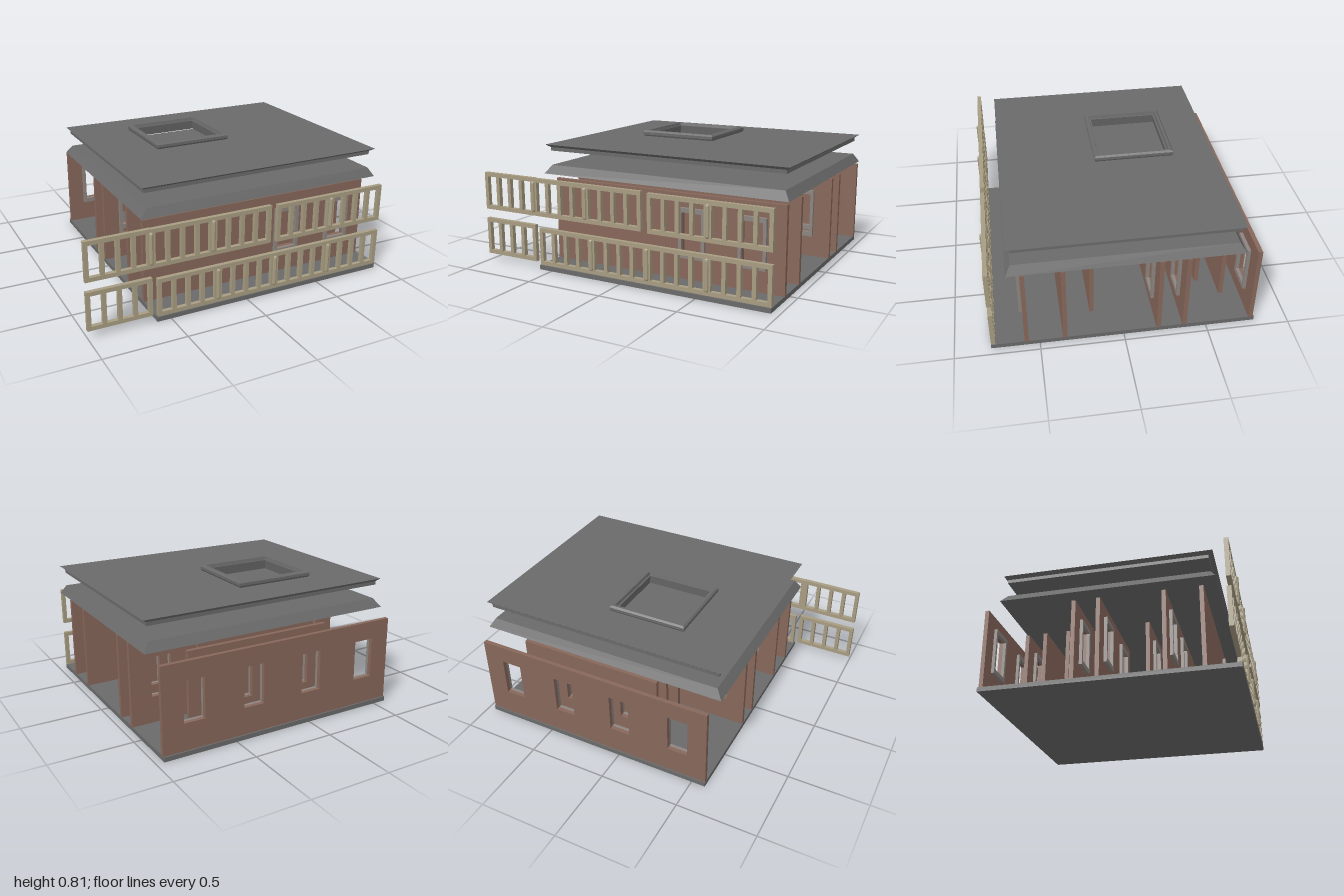
import * as THREE from 'three';

const mat = (color, side = THREE.FrontSide) => new THREE.MeshStandardMaterial({ color, side, flatShading: true });
const slate = mat(0x6a6a6a), brick = mat(0x87675a), stone = mat(0xa89d82), trim = mat(0x8c8580);

function add(parent, name, geometry, material, x = 0, y = 0, z = 0) {
  const mesh = new THREE.Mesh(geometry, material);
  mesh.name = name;
  mesh.position.set(x, y, z);
  parent.add(mesh);
  return mesh;
}

// Rectangle outline from its limits
function rect(x0, y0, x1, y1, Type = THREE.Shape) {
  return new Type([[x0, y0], [x1, y0], [x1, y1], [x0, y1]].map(p => new THREE.Vector2(...p)));
}

// Upright plate with rectangular openings, front face towards +z
function plate(outer, holes, depth) {
  const shape = rect(...outer);
  holes.forEach(h => shape.holes.push(rect(...h, THREE.Path)));
  return new THREE.ExtrudeGeometry(shape, { depth, bevelEnabled: false });
}

// Rectangular rings [x0, x1, z0, z1, y] joined by straight sides, in order
function rings(list) {
  const pos = [], index = [];
  list.forEach(([x0, x1, z0, z1, y]) => pos.push(x0, y, z1, x1, y, z1, x1, y, z0, x0, y, z0));
  for (let r = 0; r < list.length - 1; r++) {
    for (let i = 0; i < 4; i++) {
      const a = r * 4 + i, b = r * 4 + (i + 1) % 4;
      index.push(a, b, b + 4, a, b + 4, a + 4);
    }
  }
  const g = new THREE.BufferGeometry();
  g.setAttribute('position', new THREE.Float32BufferAttribute(pos, 3));
  g.setIndex(index);
  const flat = g.toNonIndexed();
  flat.computeVertexNormals();
  return flat;
}

// Wall panel with framed windows on its +z face
function wall(parent, z, x0, x1, windows) {
  const g = new THREE.Group();
  g.name = 'wall';
  const w = 0.065, y0 = 0.195, y1 = 0.44;
  const holes = windows.map(x => [x - w, y0, x + w, y1]);
  add(g, 'wallPanel', plate([x0, 0.03, x1, 0.55], holes, 0.026), brick, 0, 0, -0.013);
  windows.forEach(x => add(g, 'windowFrame',
    plate([x - 0.085, 0.165, x + 0.085, 0.467], [[x - w, y0, x + w, y1]], 0.02), trim, 0, 0, 0.013));
  g.position.z = z;
  parent.add(g);
}

// Balustrade panel with four tall openings
function balustrade(parent, x0, x1, y0, y1) {
  const bar = 0.024, n = 4, open = (x1 - x0 - bar * (n + 1)) / n;
  const holes = [];
  for (let i = 0; i < n; i++) {
    const x = x0 + bar + i * (open + bar);
    holes.push([x, y0 + 0.025, x + open, y1 - 0.025]);
  }
  add(parent, 'balustradePanel', plate([x0, y0, x1, y1], holes, 0.026), stone, 0, 0, 0.76);
}

export function createModel() {
  const model = new THREE.Group();
  model.name = 'explodedHouse';

  // Floor slab
  add(model, 'floorSlab', new THREE.BoxGeometry(1.54, 0.028, 1.585), slate, 0.183, 0.017, -0.006);

  // Parallel walls: z, x range, window centres
  const A = -0.4, B = -0.01, C = 0.38, D = 0.76;
  [
    [0.577, -0.585, 0.955, [C, D]],
    [0.35, -0.585, 0.955, [A, B]],
    [0.17, -0.2, 0.77, [B, C]],
    [-0.055, -0.585, 0.2, [A, B]],
    [-0.21, -0.585, 0.955, [A, B, C, D]],
    [-0.367, -0.2, 0.955, [C, D]],
    [-0.526, -0.2, 0.6, [C]],
    [-0.65, -0.2, 0.73, [B, C]],
    [-0.776, -0.585, 0.955, [A, B, C, D]],
  ].forEach(w => wall(model, ...w));

  // Balustrades in two rows along the front
  const rail = new THREE.Group();
  rail.name = 'balustrades';
  model.add(rail);
  balustrade(rail, -1, -0.612, 0.05, 0.285);
  balustrade(rail, -1, -0.615, 0.345, 0.582);
  [-0.58, -0.198, 0.186, 0.57].forEach(x => balustrade(rail, x, x + 0.384, 0.035, 0.27));
  [-0.615, -0.234].forEach(x => balustrade(rail, x, x + 0.384, 0.345, 0.58));
  [0.192, 0.572].forEach(x => balustrade(rail, x, x + 0.382, 0.34, 0.575));

  // Rounded posts over the panel seams
  const post = new THREE.CapsuleGeometry(0.013, 0.17, 3, 8);
  [[-0.617, 0.465], [-0.234, 0.465], [0.572, 0.46], [-0.198, 0.153], [0.186, 0.153], [0.57, 0.153]]
    .forEach(([x, y]) => add(rail, 'seamPost', post, stone, x, y, 0.786));

  // Sloped lower roof, closed above and below
  const cx = 0.19, cz = -0.01;
  add(model, 'lowerRoof', rings([
    [cx, cx, cz, cz, 0.588],
    [-0.62, 0.99, -0.68, 0.665, 0.588].map((v, i) => v),
    [-0.58, 0.957, -0.645, 0.635, 0.642],
    [cx, cx, cz, cz, 0.642],
  ]), slate);

  // Upper roof: cornice, flat top, raised skylight kerb and opening
  add(model, 'upperRoof', rings([
    [-0.225, 0.22, -0.385, 0.045, 0.73],
    [-0.59, 0.96, -0.65, 0.63, 0.73],
    [-0.59, 0.96, -0.65, 0.63, 0.752],
    [-0.612, 0.985, -0.67, 0.657, 0.77],
    [-0.25, 0.245, -0.41, 0.07, 0.773],
    [-0.255, 0.25, -0.415, 0.075, 0.783],
    [-0.255, 0.25, -0.415, 0.075, 0.8],
    [-0.245, 0.24, -0.405, 0.065, 0.81],
    [-0.23, 0.225, -0.39, 0.05, 0.81],
    [-0.225, 0.22, -0.385, 0.045, 0.79],
    [-0.215, 0.21, -0.375, 0.035, 0.79],
    [-0.225, 0.22, -0.385, 0.045, 0.73],
  ]), slate);

  return model;
}
